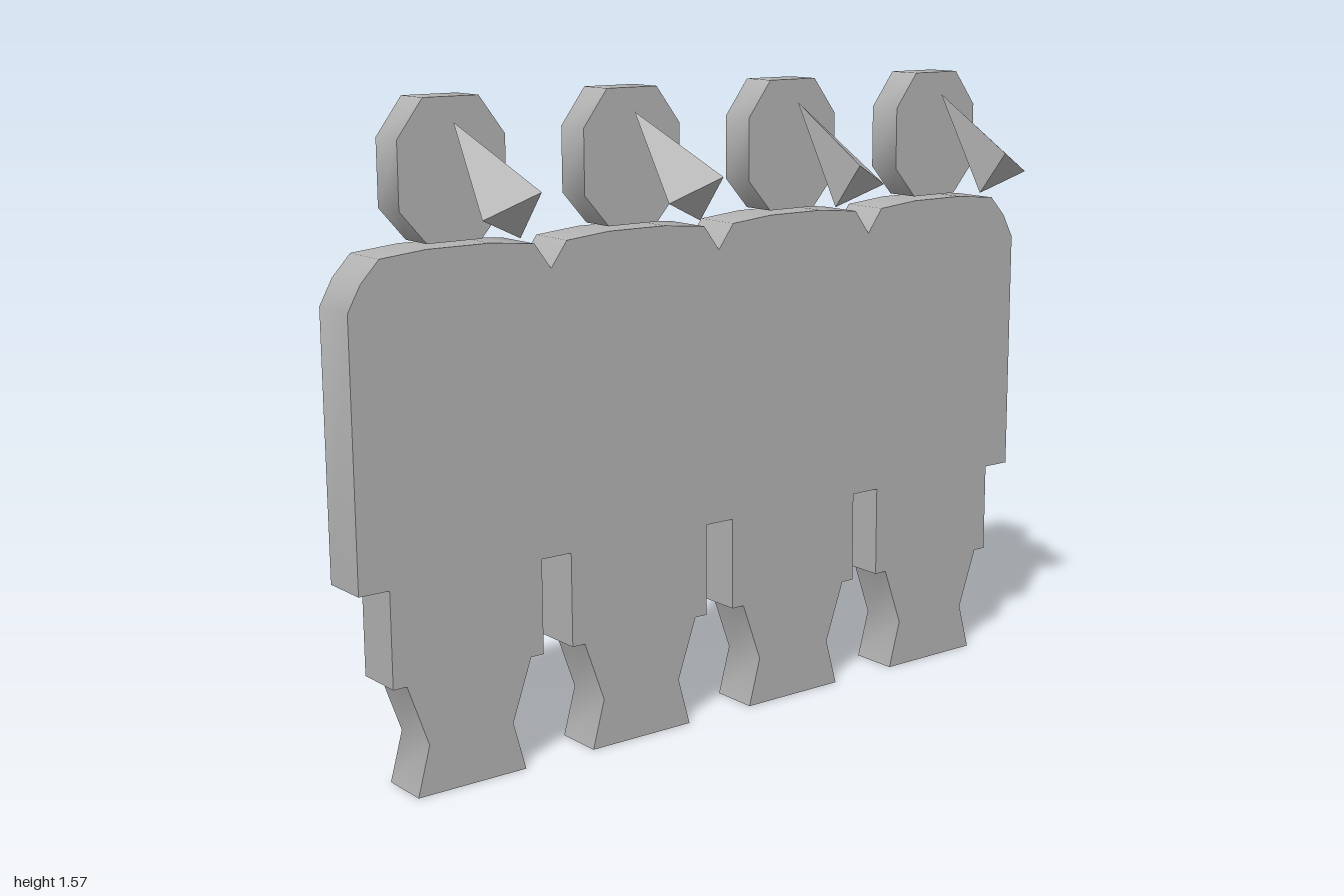
import * as THREE from 'three';
import { toCreasedNormals } from 'three/addons/utils/BufferGeometryUtils.js';
import { ConvexGeometry } from 'three/addons/geometries/ConvexGeometry.js';

const PITCH = 0.482;
const CENTRES = [-1.5, -0.5, 0.5, 1.5].map((n) => n * PITCH);

// Flat cut-out between two depths, with softly shaded curved edges
function cutout(points, back, front) {
  const shape = new THREE.Shape(points.map(([x, y]) => new THREE.Vector2(x, y)));
  const geometry = new THREE.ExtrudeGeometry(shape, { depth: front - back, bevelEnabled: false });
  geometry.translate(0, 0, back);
  return toCreasedNormals(geometry, 1.0);
}

// One outline joins all four figures: legs left to right, then shoulders right to left
function bodyOutline() {
  const points = [[-1, 0.5]];
  const leg = [[0.2, 0.5], [0.2, 0.27], [0.165, 0.27], [0.112, 0.12], [0.145, 0]];
  for (const c of CENTRES) {
    for (const [x, y] of leg) points.push([c - x, y]);
    for (const [x, y] of [...leg].reverse()) points.push([c + x, y]);
  }
  points.push([1, 0.5], [1, 1.125], [0.967, 1.185]);
  [...CENTRES].reverse().forEach((c, i) => {
    for (const [x, y] of [[0.197, 1.235], [0.08, 1.246], [-0.08, 1.246], [-0.197, 1.235]]) {
      points.push([c + x, y]);
    }
    if (i < 3) points.push([c - PITCH / 2, 1.175]);
  });
  points.push([-0.967, 1.185], [-1, 1.125]);
  return points;
}

export function createModel() {
  const group = new THREE.Group();
  const grey = new THREE.MeshStandardMaterial({ color: 0xb2b2b2 });
  grey.name = 'plain grey';

  const add = (name, geometry, x = 0) => {
    const mesh = new THREE.Mesh(geometry, grey);
    mesh.name = name;
    mesh.position.x = x;
    group.add(mesh);
  };

  add('joinedBodies', cutout(bodyOutline(), -0.2, -0.075));

  // Octagonal heads
  const head = cutout([
    [-0.07, 1.255], [0.07, 1.255], [0.136, 1.33], [0.136, 1.483],
    [0.07, 1.57], [-0.07, 1.57], [-0.136, 1.483], [-0.136, 1.33],
  ], -0.18, -0.09);

  // Three-sided noses, mirrored across the middle
  const nose = (side) => new ConvexGeometry([
    [0.004, 1.515, -0.075], [0.08, 1.33, 0.155], [-0.038, 1.385, 0.2], [-0.038, 1.28, 0.115],
  ].map(([x, y, z]) => new THREE.Vector3(x * side, y, z)));

  for (const c of CENTRES) {
    add('head', head, c);
    add('nose', nose(Math.sign(c)), c);
  }
  return group;
}
